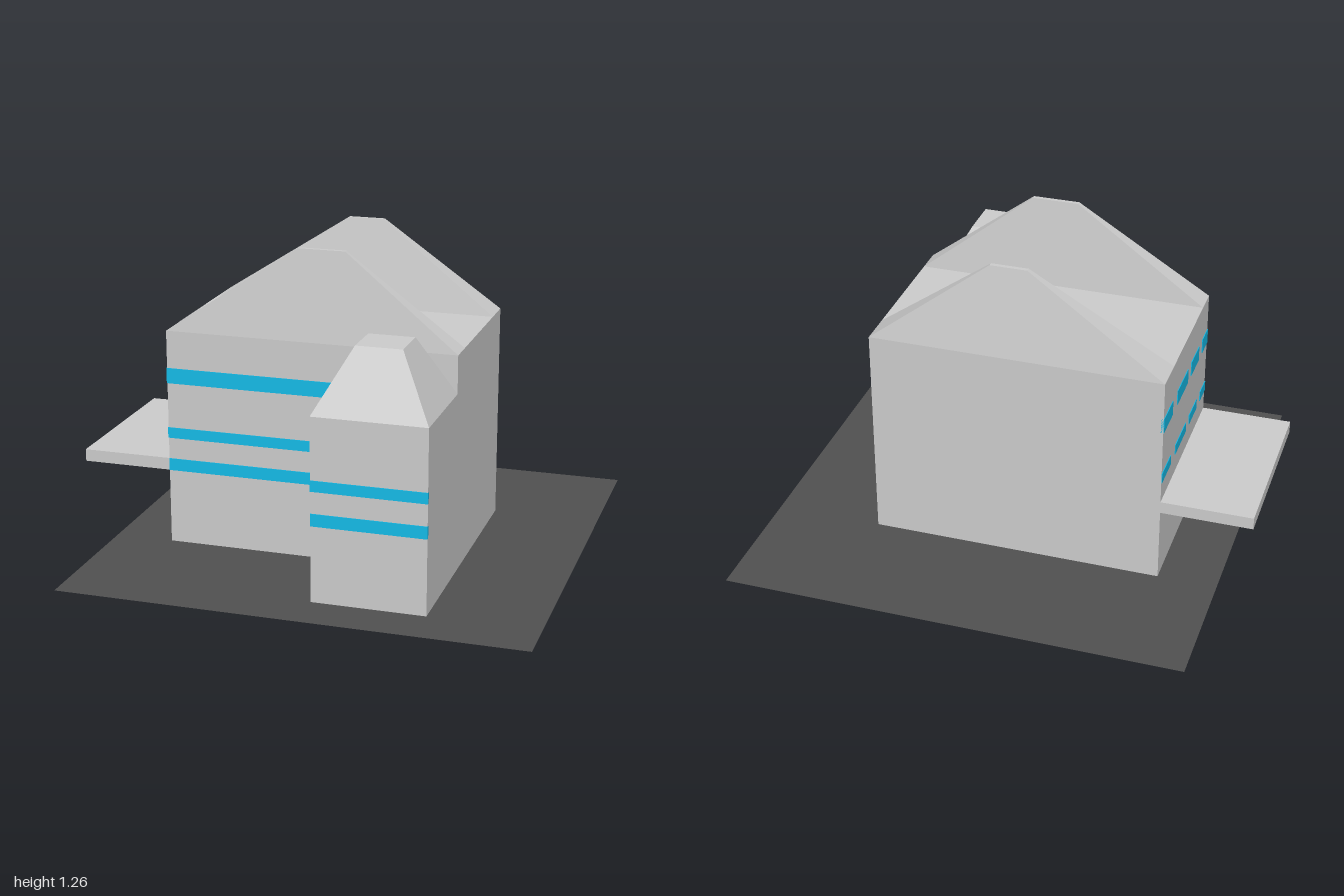
import * as THREE from 'three';

const grey = new THREE.MeshStandardMaterial({ color: 0xcccccc, flatShading: true });
const blue = new THREE.MeshStandardMaterial({ color: 0x14bae7 });
const dark = new THREE.MeshStandardMaterial({ color: 0x505050, side: THREE.DoubleSide });

export function createModel() {
  const model = new THREE.Group();

  function add(name, geometry, material) {
    const mesh = new THREE.Mesh(geometry, material);
    mesh.name = name;
    model.add(mesh);
    return mesh;
  }

  // Box between two limits on each axis
  function block(name, [x0, x1], [y0, y1], [z0, z1], material = grey) {
    const mesh = add(name, new THREE.BoxGeometry(x1 - x0, y1 - y0, z1 - z0), material);
    mesh.position.set((x0 + x1) / 2, (y0 + y1) / 2, (z0 + z1) / 2);
    return mesh;
  }

  // Box whose top rectangle is narrowed to its own limits
  function taperedRoof(name, baseX, baseZ, topX, topZ, y0, y1) {
    const geometry = new THREE.BoxGeometry(1, 1, 1).toNonIndexed();
    const p = geometry.attributes.position;
    for (let i = 0; i < p.count; i++) {
      const top = p.getY(i) > 0;
      const xs = top ? topX : baseX;
      const zs = top ? topZ : baseZ;
      p.setXYZ(i, xs[p.getX(i) > 0 ? 1 : 0], top ? y1 : y0, zs[p.getZ(i) > 0 ? 1 : 0]);
    }
    geometry.computeVertexNormals();
    return add(name, geometry, grey);
  }

  // Ground sheet
  const ground = add('ground', new THREE.PlaneGeometry(1.87, 1.876), dark);
  ground.rotation.x = -Math.PI / 2;
  ground.position.x = 0.065;

  // Main hall, side platform and corner tower
  const hallX = [-0.63, 0.562], hallZ = [-0.4, 0.328];
  const towerX = [0.108, 0.562], towerZ = [0.328, 0.756];
  block('mainHall', hallX, [0.002, 0.895], hallZ);
  block('sidePlatform', [-1, -0.63], [0.31, 0.36], hallZ);
  block('tower', towerX, [0.002, 0.741], towerZ);

  // Roofs: two thin gables on the hall and a clipped pyramid on the tower
  taperedRoof('frontGable', hallX, [0.222, 0.328], [-0.09, 0.1], [0.267, 0.284], 0.895, 1.257);
  taperedRoof('backGable', hallX, [-0.4, -0.26], [-0.07, 0.08], [-0.339, -0.322], 0.895, 1.257);
  taperedRoof('towerRoof', towerX, towerZ, [0.244, 0.428], [0.456, 0.63], 0.741, 0.99);

  // Window bands on the front walls
  const low = [0.31, 0.36], middle = [0.448, 0.492], high = [0.678, 0.741];
  const lift = 0.003;
  for (const y of [low, middle, high]) {
    block('hallWindowBand', [hallX[0], towerX[0]], y, [hallZ[1] - 0.01, hallZ[1] + lift], blue);
  }
  for (const y of [low, middle]) {
    block('towerWindowBand', towerX, y, [towerZ[1] - 0.01, towerZ[1] + lift], blue);
  }

  // Separate windows above the platform
  for (const y of [middle, high]) {
    for (const z of [[-0.4, -0.26], [-0.185, -0.01], [0.045, 0.175], [0.235, 0.328]]) {
      block('sideWindow', [hallX[0] - lift, hallX[0] + 0.01], y, z, blue);
    }
  }

  return model;
}
